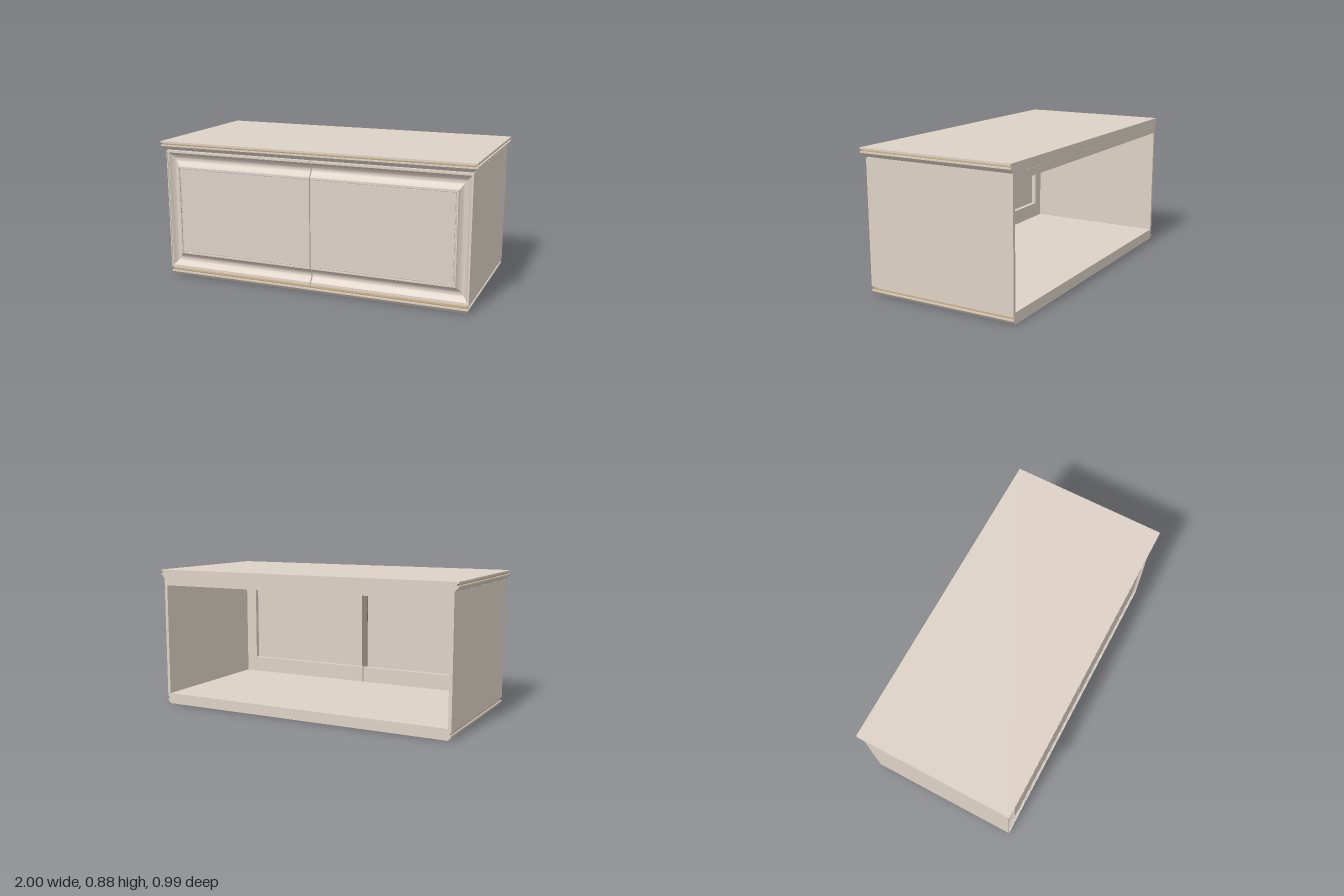
import * as THREE from 'three';
import { mergeGeometries, toCreasedNormals } from 'three/addons/utils/BufferGeometryUtils.js';

const BACK = -0.495;

function add(parent, name, geometry, material) {
  const mesh = new THREE.Mesh(geometry, material);
  mesh.name = name;
  parent.add(mesh);
  return mesh;
}

// Box given by its ranges
function block(x0, x1, y0, y1, z0, z1) {
  return new THREE.BoxGeometry(x1 - x0, y1 - y0, z1 - z0)
    .translate((x0 + x1) / 2, (y0 + y1) / 2, (z0 + z1) / 2);
}

// Full-depth slab, flush at the back, optionally narrowing downwards by an inset
function layer(half, front, y0, y1, inset = 0) {
  const g = block(-half, half, y0, y1, BACK, front).toNonIndexed();
  const p = g.attributes.position;
  for (let i = 0; i < p.count; i++) {
    if (p.getY(i) > (y0 + y1) / 2) continue;
    p.setX(i, p.getX(i) - Math.sign(p.getX(i)) * inset);
    if (p.getZ(i) > 0) p.setZ(i, p.getZ(i) - inset);
  }
  g.computeVertexNormals();
  return g;
}

// Row of little beads along a polyline
function beads(points, radius, step) {
  const list = [];
  for (let i = 0; i + 1 < points.length; i++) {
    const a = points[i], b = points[i + 1];
    const n = Math.round(a.distanceTo(b) / step);
    for (let k = 0; k < n; k++) {
      const c = a.clone().lerp(b, (k + 0.5) / n);
      list.push(new THREE.SphereGeometry(radius, 6, 4).translate(c.x, c.y, c.z));
    }
  }
  return mergeGeometries(list);
}

const V = (x, y, z) => new THREE.Vector3(x, y, z);

// Mitred three-sided door moulding: the profile (share of width, depth) goes round the corners
function mouldedFrame(profile, x0, x1, h, wx, wy) {
  const corners = [[x0, h, 0, -1], [x1, h, -1, -1], [x1, -h, -1, 1], [x0, -h, 0, 1]];
  const rings = corners.map(([x, y, dx, dy]) =>
    profile.map(([u, z]) => V(x + dx * u * wx, y + dy * u * wy, z)));
  const pos = [];
  const tri = (...vs) => vs.forEach((v) => pos.push(v.x, v.y, v.z));
  for (let i = 0; i < 3; i++) {
    for (let j = 0; j < profile.length; j++) {
      const k = (j + 1) % profile.length;
      const a = rings[i][j], b = rings[i][k], c = rings[i + 1][k], d = rings[i + 1][j];
      tri(a, b, c);
      tri(a, c, d);
    }
  }
  const contour = profile.map(([u, z]) => new THREE.Vector2(u, z));
  for (const [a, b, c] of THREE.ShapeUtils.triangulateShape(contour, [])) {
    tri(rings[0][a], rings[0][b], rings[0][c]);
    tri(rings[3][c], rings[3][b], rings[3][a]);
  }
  const g = new THREE.BufferGeometry();
  g.setAttribute('position', new THREE.Float32BufferAttribute(pos, 3));
  return toCreasedNormals(g, 0.5);
}

export function createModel() {
  const paint = new THREE.MeshStandardMaterial({ color: 0xddd1c6 });
  paint.name = 'beige paint';
  const trim = new THREE.MeshStandardMaterial({ color: 0xcdb48c });
  trim.name = 'tan trim';
  const shade = new THREE.MeshStandardMaterial({ color: 0x8d8277 });
  shade.name = 'dark inner brown';
  // Tan strips have a painted back face
  const strip = [trim, trim, trim, trim, trim, paint];

  const model = new THREE.Group();
  model.name = 'cabinet';

  // Base: bevelled plinth, lip and tan strip
  add(model, 'plinth', layer(0.975, 0.473, 0, 0.02, 0.018), paint);
  add(model, 'plinthLip', layer(0.975, 0.473, 0.02, 0.029), paint);
  add(model, 'baseStrip', layer(0.968, 0.465, 0.029, 0.045), strip);

  // Open-backed carcass
  const carcass = new THREE.Group();
  carcass.name = 'carcass';
  model.add(carcass);
  for (const s of [-1, 1]) {
    add(carcass, s > 0 ? 'leftSide' : 'rightSide',
      block(s * 0.967 - 0.01, s * 0.967 + 0.01, 0.045, 0.82, BACK, 0.42), paint);
  }
  add(carcass, 'floor', block(-0.957, 0.957, 0.045, 0.067, BACK, 0.42), paint);
  add(carcass, 'ceiling', block(-0.957, 0.957, 0.80, 0.82, BACK, 0.42), shade);
  add(carcass, 'backRail', block(-0.957, 0.957, 0.775, 0.82, BACK - 0.0005, BACK + 0.02), paint);

  // Top: bevelled cornice, lip, tan strip and slab
  add(model, 'cornice', layer(1, 0.495, 0.82, 0.844, 0.024), paint);
  add(model, 'corniceLip', layer(1, 0.495, 0.844, 0.852), paint);
  add(model, 'topStrip', layer(0.99, 0.486, 0.852, 0.864), strip);
  add(model, 'topSlab', layer(1, 0.495, 0.864, 0.875), paint);

  // Beading along the front of both tan strips
  const row = (half, y, z) => beads([V(-half, y, z), V(half, y, z)], 0.005, 0.012);
  add(model, 'topBeads', row(0.988, 0.858, 0.486), trim);
  add(model, 'baseBeads', row(0.966, 0.037, 0.465), trim);

  // Door moulding profile: flat rim, hollow cove, inner step
  const profile = [[0, 0.42], [0, 0.472], [0.06, 0.472], [0.06, 0.466], [0.12, 0.466]];
  for (let i = 1; i < 12; i++) {
    const t = i / 12;
    profile.push([0.12 + 0.7 * t, 0.466 - 0.029 * Math.sin(Math.PI * t)]);
  }
  profile.push([0.82, 0.466], [0.83, 0.47], [0.89, 0.47], [0.89, 0.462], [1, 0.462], [1, 0.42]);

  // Two doors, the second turned half round in the front plane
  for (const turn of [0, Math.PI]) {
    const door = new THREE.Group();
    door.name = turn ? 'rightDoor' : 'leftDoor';
    door.position.y = 0.4325;
    door.rotation.z = turn;
    model.add(door);
    add(door, 'doorFrame', mouldedFrame(profile, 0.003, 0.977, 0.3825, 0.097, 0.12), paint);
    add(door, 'doorPanel', block(0.003, 0.881, -0.2635, 0.2635, 0.45, 0.467), paint);
    const x = 0.886, y = 0.2695;
    add(door, 'panelBeads', beads(
      [V(0.003, y, 0.463), V(x, y, 0.463), V(x, -y, 0.463), V(0.003, -y, 0.463)], 0.004, 0.009), paint);
  }

  // Dark batten behind the gap between the door panels
  add(model, 'gapBatten', block(-0.02, 0.02, 0.171, 0.694, 0.44, 0.449), shade);
  return model;
}
